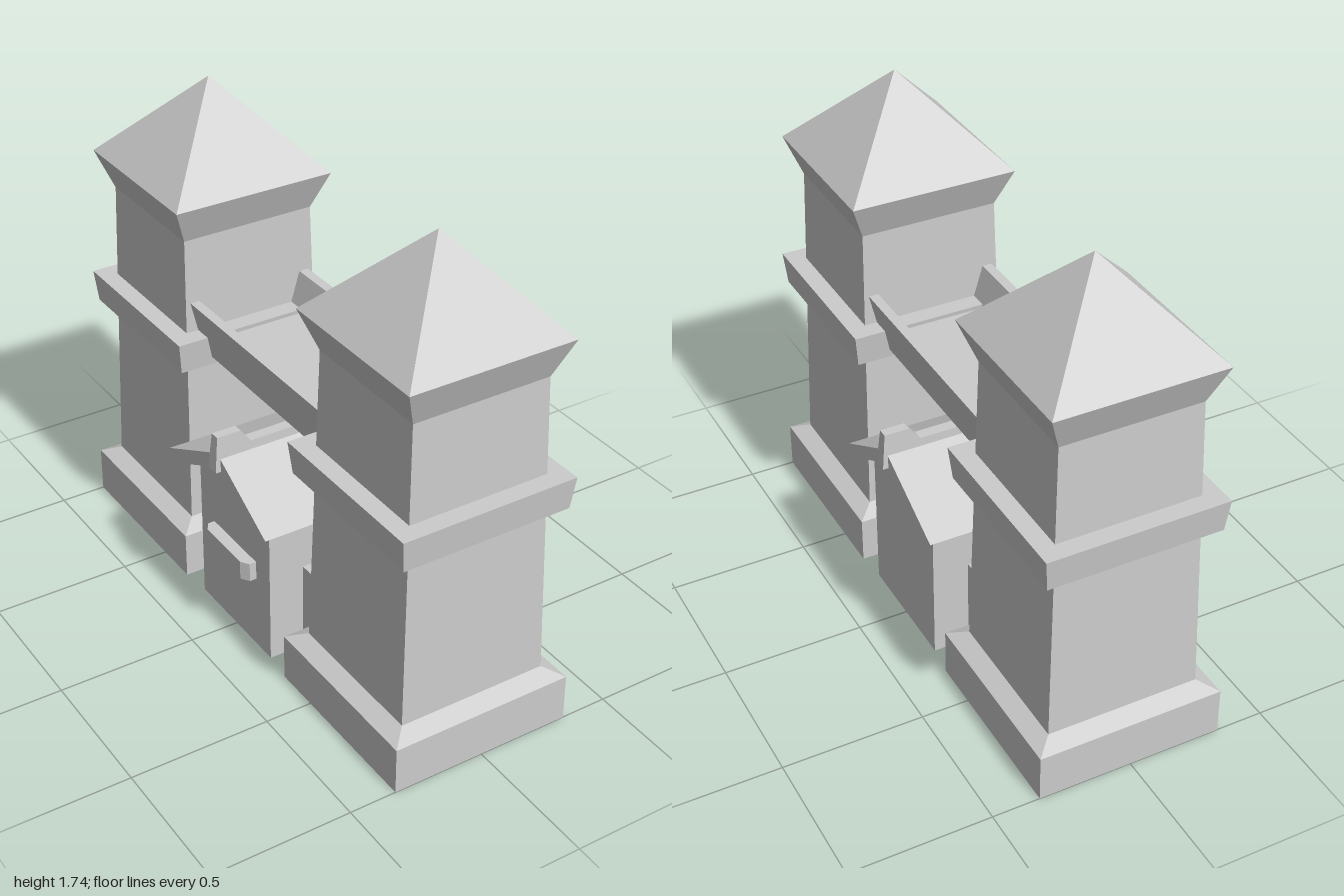
import * as THREE from 'three';

const material = new THREE.MeshStandardMaterial({
  color: 0xcccccc, flatShading: true, side: THREE.DoubleSide,
});

function addMesh(parent, name, geometry) {
  const mesh = new THREE.Mesh(geometry, material);
  mesh.name = name;
  parent.add(mesh);
  return mesh;
}

// Square ring or block: the profile lists [half width, height] pairs
function squareLathe(profile) {
  const points = profile.map(([half, y]) => new THREE.Vector2(half * Math.SQRT2, y));
  return new THREE.LatheGeometry(points, 4, Math.PI / 4);
}

// Extrude a closed outline in the xy plane, centred on z = 0
function prism(outline, depth) {
  const shape = new THREE.Shape(outline.map(([x, y]) => new THREE.Vector2(x, y)));
  const geometry = new THREE.ExtrudeGeometry(shape, { depth, bevelEnabled: false });
  return geometry.translate(0, 0, -depth / 2);
}

// Same, with the outline given as [z, y] and extruded along x
const crossPrism = (outline, width) =>
  prism(outline.map(([z, y]) => [-z, y]), width).rotateY(Math.PI / 2);

// Leave out the faces lying on the ground
function openBottom(source) {
  const geometry = source.index ? source.toNonIndexed() : source;
  const p = geometry.attributes.position;
  const kept = [];
  for (let i = 0; i < p.count; i += 3) {
    if (Math.max(p.getY(i), p.getY(i + 1), p.getY(i + 2)) < 0.001) continue;
    for (let j = i; j < i + 3; j++) kept.push(p.getX(j), p.getY(j), p.getZ(j));
  }
  const open = new THREE.BufferGeometry();
  open.setAttribute('position', new THREE.Float32BufferAttribute(kept, 3));
  open.computeVertexNormals();
  return open;
}

function createTower(name, z) {
  const tower = new THREE.Group();
  tower.name = name;
  tower.position.z = z;
  addMesh(tower, 'towerBase', squareLathe([[0.332, 0], [0.332, 0.17], [0.272, 0.2]]));
  addMesh(tower, 'towerShaft', squareLathe([[0.272, 0.2], [0.247, 1.29]]));
  addMesh(tower, 'towerBand', squareLathe([[0.25, 0.83], [0.308, 0.83], [0.32, 0.945], [0.25, 0.945]]));
  addMesh(tower, 'towerCornice', squareLathe([[0.247, 1.29], [0.299, 1.425]]));
  addMesh(tower, 'towerRoof', squareLathe([[0.299, 1.425], [0, 1.74]]));
  return tower;
}

function createBridge() {
  const bridge = new THREE.Group();
  bridge.name = 'bridge';
  // Trough with parapets leaning outward
  const outline = [
    [-0.19, 0.86], [0.19, 0.86], [0.235, 1.055], [0.2, 1.055],
    [0.16, 0.93], [-0.16, 0.93], [-0.2, 1.055], [-0.235, 1.055],
  ];
  addMesh(bridge, 'walkway', prism(outline, 0.84));
  return bridge;
}

function createGatehouse() {
  const house = new THREE.Group();
  house.name = 'gatehouse';

  // Gabled walls
  const gable = [[-0.228, 0], [0.228, 0], [0.228, 0.55], [0, 0.68], [-0.228, 0.55]];
  addMesh(house, 'gatehouseWalls', openBottom(crossPrism(gable, 0.64)));

  // Folded roof slab with overhanging eaves
  const roof = [
    [0.305, 0.558], [0, 0.73], [-0.335, 0.565],
    [-0.285, 0.53], [0, 0.675], [0.255, 0.53],
  ];
  addMesh(house, 'gatehouseRoof', crossPrism(roof, 0.76));

  // Ridge beam with raised ends, slightly narrower at the top
  const half = [[0.4, 0.67], [0.387, 0.8], [0.298, 0.8], [0.26, 0.75]];
  const mirrored = half.map(([x, y]) => [-x, y]).reverse();
  const ridge = prism([...half, ...mirrored], 0.05);
  const p = ridge.attributes.position;
  for (let i = 0; i < p.count; i++) {
    p.setZ(i, p.getZ(i) * (1 - 0.3 * (p.getY(i) - 0.67) / 0.13));
  }
  addMesh(house, 'ridgeBeam', ridge);

  // Ledge with tapered ends on the right wall
  const ledge = prism([[-0.31, -0.14], [-0.31, 0.14], [-0.345, 0.14],
    [-0.365, 0.11], [-0.365, -0.11], [-0.345, -0.14]], 0.07);
  ledge.rotateX(Math.PI / 2).translate(0, 0.315, 0);
  addMesh(house, 'wallLedge', ledge);
  return house;
}

export function createModel() {
  const model = new THREE.Group();
  model.name = 'twinTowerGate';
  model.add(createTower('frontTower', 0.668), createTower('backTower', -0.668));
  model.add(createBridge(), createGatehouse());

  // Low walls joining the gatehouse to the towers
  for (const [name, side] of [['frontLowWall', 1], ['backLowWall', -1]]) {
    const wall = new THREE.BoxGeometry(0.38, 0.335, 0.2).translate(0, 0.1675, side * 0.32);
    addMesh(model, name, openBottom(wall));
  }
  return model;
}
